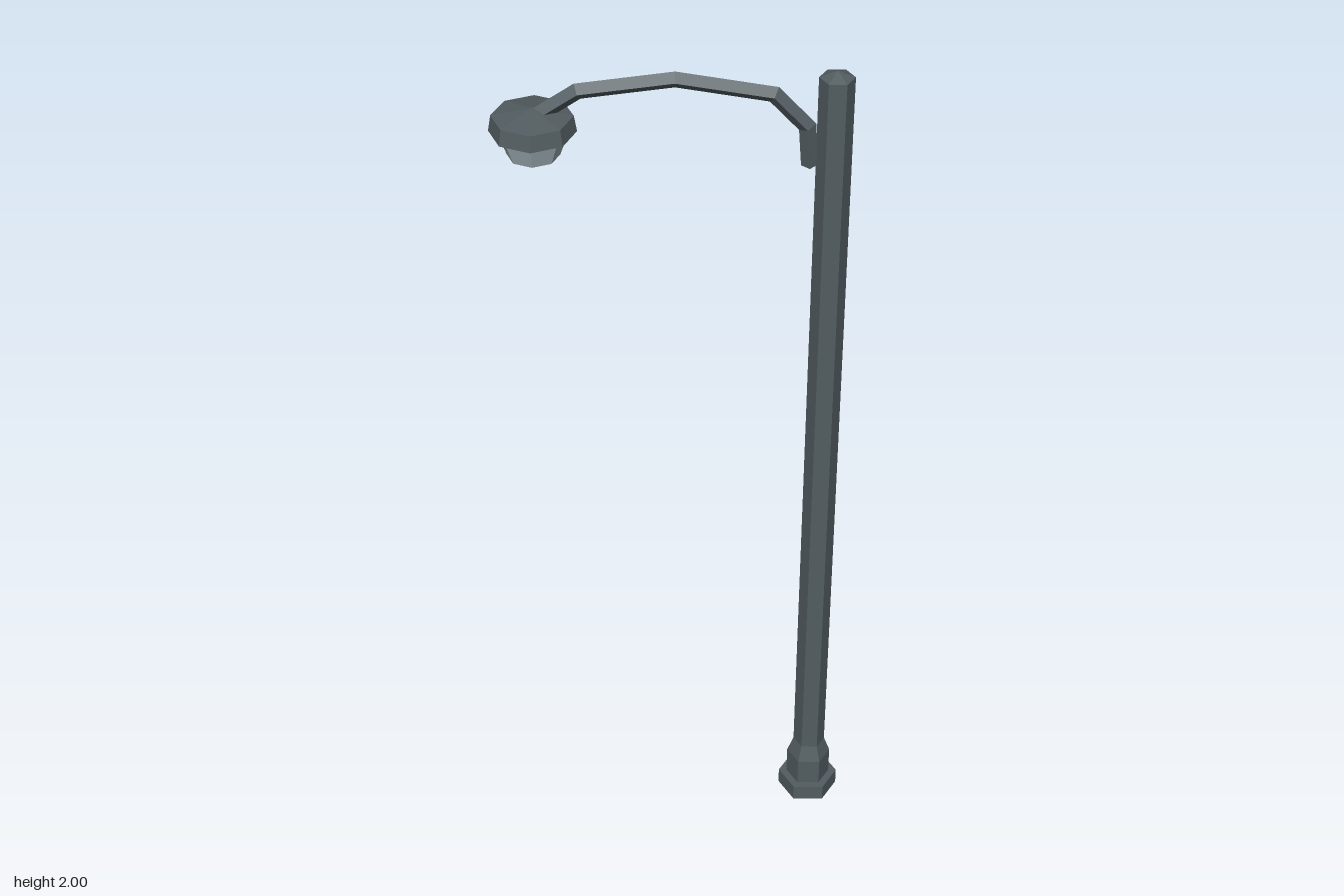
import * as THREE from 'three';

const metal = new THREE.MeshStandardMaterial({ color: 0x525c60 });
metal.name = 'dark slate metal';
const glass = new THREE.MeshStandardMaterial({ color: 0x9fafb6 });
glass.name = 'pale grey glass';

// Faceted mesh with one normal per face
function faceted(geometry, material, name) {
  const flat = geometry.index ? geometry.toNonIndexed() : geometry;
  flat.computeVertexNormals();
  const mesh = new THREE.Mesh(flat, material);
  mesh.name = name;
  return mesh;
}

// Turned part from [radius, height] pairs, listed bottom to top
function turned(profile, sides, material, name) {
  const points = profile.map(([r, y]) => new THREE.Vector2(r, y));
  return faceted(new THREE.LatheGeometry(points, sides), material, name);
}

// Diamond section swept along a path in the xy plane, with mitred joints
function diamondSweep(path, h) {
  const p = path.map(([x, y]) => new THREE.Vector2(x, y));
  const last = p.length - 1;
  const positions = [];
  const index = [];
  p.forEach((point, i) => {
    const into = p[Math.max(i, 1)].clone().sub(p[Math.max(i, 1) - 1]).normalize();
    const j = Math.min(i, last - 1);
    const out = p[j + 1].clone().sub(p[j]).normalize();
    const t = into.clone().add(out).normalize();
    const m = h / t.dot(out);
    const nx = -t.y * m, ny = t.x * m;
    positions.push(
      point.x + nx, point.y + ny, 0,
      point.x, point.y, h,
      point.x - nx, point.y - ny, 0,
      point.x, point.y, -h
    );
    if (i === last) return;
    for (let k = 0; k < 4; k++) {
      const a = i * 4 + k, b = i * 4 + (k + 1) % 4;
      index.push(a, b, a + 4, b, b + 4, a + 4);
    }
  });
  const e = last * 4;
  index.push(0, 3, 2, 0, 2, 1, e, e + 1, e + 2, e, e + 2, e + 3);
  const geometry = new THREE.BufferGeometry();
  geometry.setAttribute('position', new THREE.Float32BufferAttribute(positions, 3));
  geometry.setIndex(index);
  return geometry;
}

export function createModel() {
  const model = new THREE.Group();
  model.name = 'streetLamp';

  // Hexagonal post: foot, collar, shaft and pointed cap
  const post = new THREE.Group();
  post.name = 'post';
  post.position.set(0.283, 0, 0.163);
  post.add(
    turned([[0, 0], [0.071, 0], [0.071, 0.04], [0.05, 0.04]], 6, metal, 'foot'),
    turned([[0.052, 0.04], [0.052, 0.11], [0.0375, 0.15]], 6, metal, 'collar'),
    turned([[0.0375, 0.15], [0.0375, 1.985], [0, 2]], 6, metal, 'shaft')
  );
  model.add(post);

  // Arm and lamp head reach diagonally back from the post
  const head = new THREE.Group();
  head.name = 'armAndLamp';
  head.position.copy(post.position);
  head.rotation.y = THREE.MathUtils.degToRad(150);
  model.add(head);

  const armPath = [[0.05, 1.78], [0.057, 1.87], [0.127, 1.945], [0.33, 1.978], [0.53, 1.95], [0.622, 1.888]];
  head.add(faceted(diamondSweep(armPath, 0.018), metal, 'arm'));

  // Octagonal hood over a tapered glass bowl
  const hood = turned([[0, 1.857], [0.092, 1.857], [0.086, 1.893], [0, 1.911]], 8, metal, 'lampHood');
  const bowl = turned([[0, 1.798], [0.056, 1.802], [0.076, 1.857]], 8, glass, 'lampGlass');
  for (const part of [hood, bowl]) {
    part.position.x = 0.624;
    head.add(part);
  }

  return model;
}
